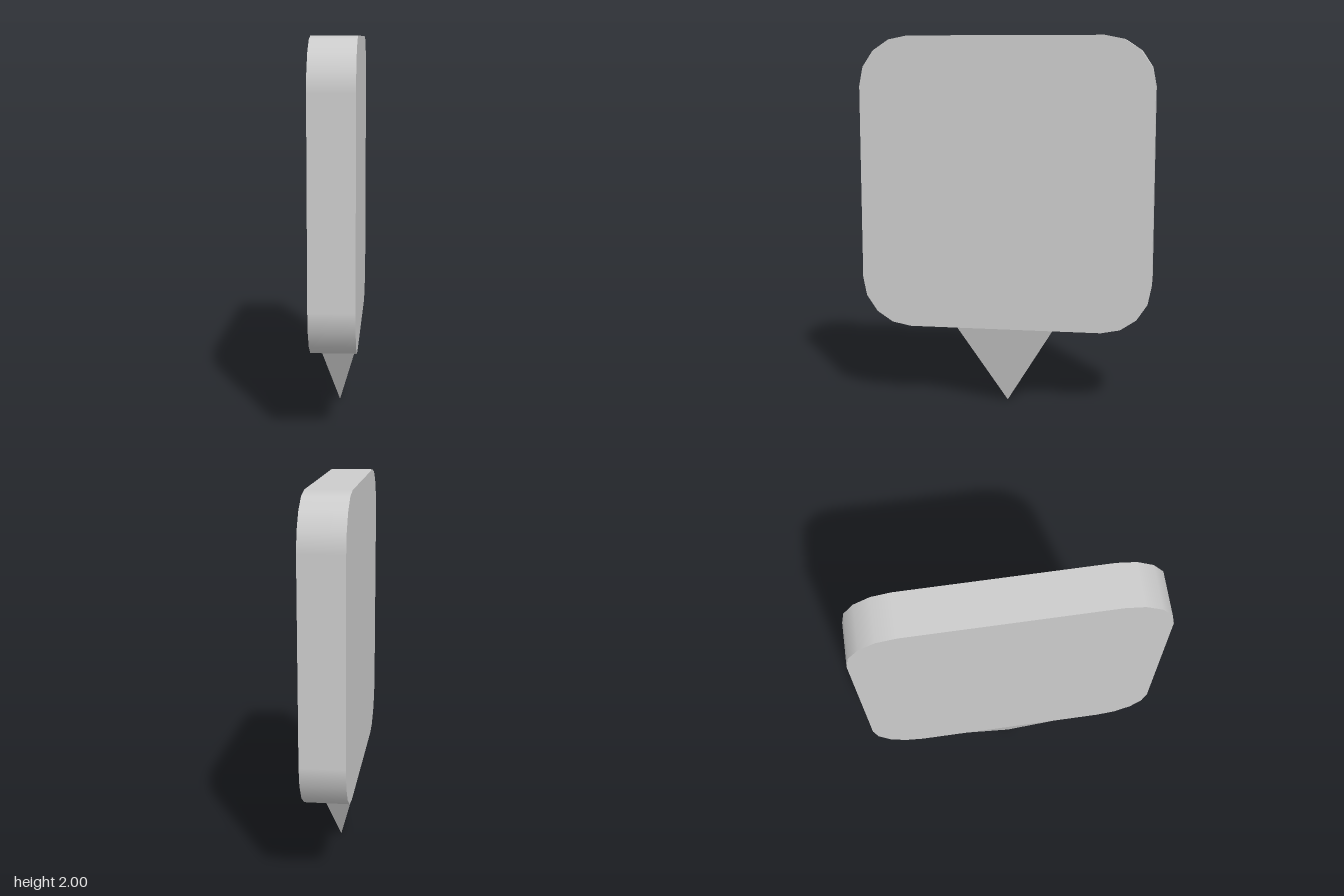
import * as THREE from 'three';

const THICK = 0.23, HALF = 0.785, RADIUS = 0.265, BASE = 0.43, TAIL_WIDTH = 0.52;
const CORE = HALF - RADIUS;

// Rounded square slab; four facets per corner, smooth round the rim, sharp at the faces
function bodyGeometry() {
  const shape = new THREE.Shape();
  [[1, 1], [-1, 1], [-1, -1], [1, -1]].forEach(([sx, sy], i) => {
    const start = i * Math.PI / 2;
    shape.absarc(sx * CORE, sy * CORE, RADIUS, start, start + Math.PI / 2, false);
  });
  const geometry = new THREE.ExtrudeGeometry(shape, { depth: THICK, bevelEnabled: false, curveSegments: 2 });
  geometry.translate(0, 0, -THICK / 2);

  // Rim normals point away from the slab's inner square
  const { position, normal } = geometry.attributes;
  const clamp = (v) => THREE.MathUtils.clamp(v, -CORE, CORE);
  for (let i = 0; i < position.count; i++) {
    if (Math.abs(normal.getZ(i)) > 0.9) continue;
    const x = position.getX(i), y = position.getY(i);
    const dx = x - clamp(x), dy = y - clamp(y), length = Math.hypot(dx, dy);
    normal.setXYZ(i, dx / length, dy / length, 0);
  }
  return geometry.rotateY(Math.PI / 2).translate(0, BASE + HALF, 0);
}

// Four-sided point hanging below the slab, as thick as the slab at its top
function tailGeometry() {
  const geometry = new THREE.ConeGeometry(Math.SQRT1_2, 1, 4, 1, true)
    .rotateY(Math.PI / 4)
    .rotateX(Math.PI)
    .scale(THICK, BASE, TAIL_WIDTH)
    .translate(0, BASE / 2, 0)
    .toNonIndexed();
  geometry.computeVertexNormals();
  return geometry;
}

export function createModel() {
  const group = new THREE.Group();
  group.name = 'speechBubble';
  const material = new THREE.MeshStandardMaterial({ color: 0xcccccc });
  const addPart = (name, geometry) => {
    const mesh = new THREE.Mesh(geometry, material);
    mesh.name = name;
    group.add(mesh);
  };
  addPart('bubbleBody', bodyGeometry());
  addPart('bubbleTail', tailGeometry());
  return group;
}
